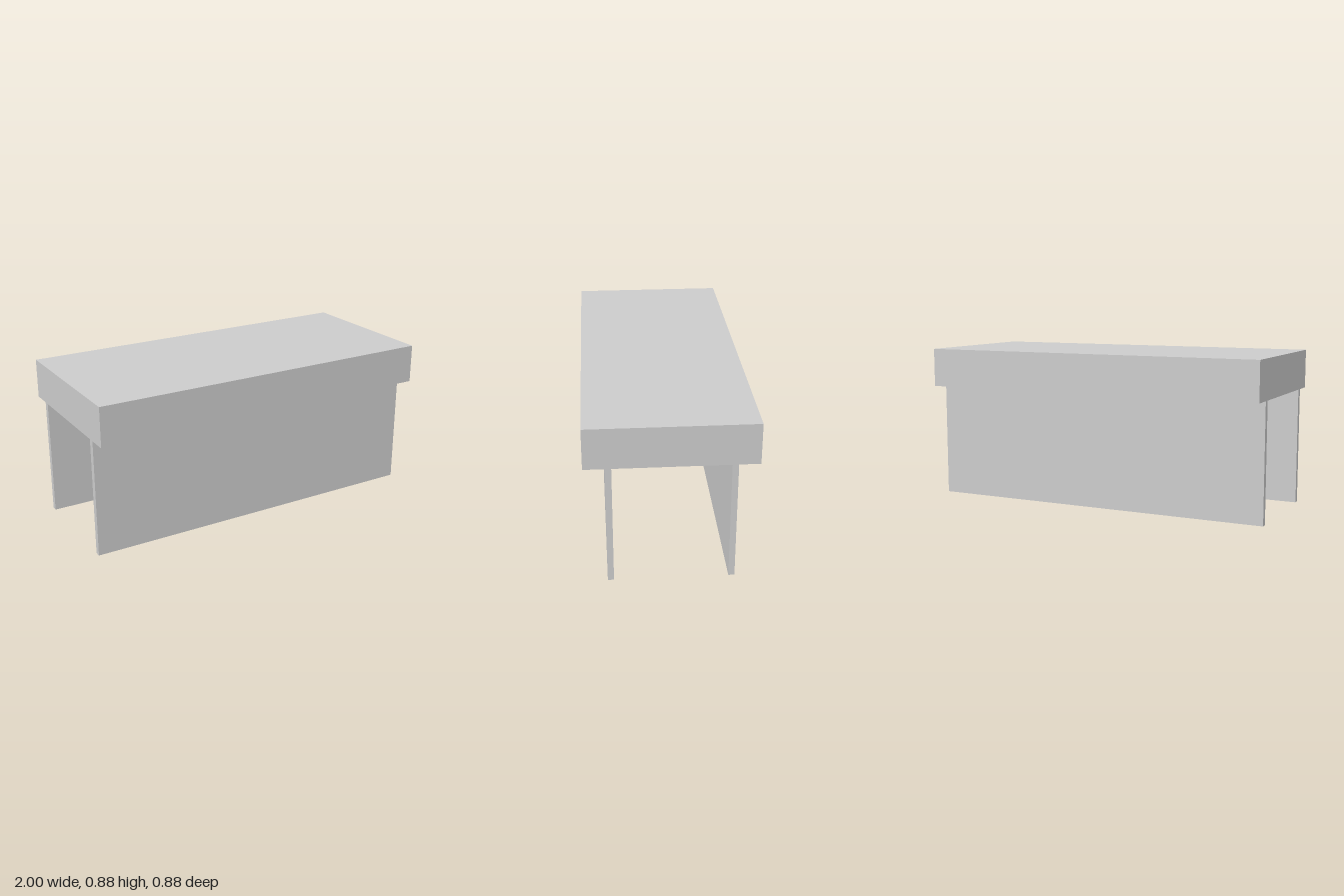
import * as THREE from 'three';
import { mergeGeometries } from 'three/addons/utils/BufferGeometryUtils.js';

const L = 2, TOP = 0.88, SEAT = 0.66, HALF = 0.44, OUT = 0.33, IN = 0.298;

const material = new THREE.MeshStandardMaterial({ color: 0xcccccc, side: THREE.DoubleSide });

// Flat sheets: facing along z, along x, or along y
const sheetZ = (y0, y1, z, dir) => new THREE.PlaneGeometry(L, y1 - y0)
  .rotateY(dir > 0 ? 0 : Math.PI).translate(0, (y0 + y1) / 2, z);
const sheetX = (y0, y1, z0, z1, dir) => new THREE.PlaneGeometry(z1 - z0, y1 - y0)
  .rotateY(dir * Math.PI / 2).translate(dir * L / 2, (y0 + y1) / 2, (z0 + z1) / 2);
const sheetY = (y, z0, z1, dir) => new THREE.PlaneGeometry(L, z1 - z0)
  .rotateX(-dir * Math.PI / 2).translate(0, y, (z0 + z1) / 2);

export function createModel() {
  const group = new THREE.Group();
  const add = (name, sheets) => {
    const mesh = new THREE.Mesh(mergeGeometries(sheets), material);
    mesh.name = name;
    group.add(mesh);
  };

  // Hollow top, closed underneath only along the overhangs
  add('benchTop', [
    sheetY(TOP, -HALF, HALF, 1),
    sheetZ(SEAT, TOP, HALF, 1),
    sheetZ(SEAT, TOP, -HALF, -1),
    sheetX(SEAT, TOP, -HALF, HALF, 1),
    sheetX(SEAT, TOP, -HALF, HALF, -1),
    sheetY(SEAT, OUT, HALF, -1),
    sheetY(SEAT, -HALF, -OUT, -1),
  ]);

  // Long support panels, thin shells open at the bottom
  for (const s of [1, -1]) {
    const z0 = s > 0 ? IN : -OUT, z1 = s > 0 ? OUT : -IN;
    add(s > 0 ? 'frontPanel' : 'backPanel', [
      sheetZ(0, SEAT, s * OUT, s),
      sheetZ(0, SEAT, s * IN, -s),
      sheetX(0, SEAT, z0, z1, 1),
      sheetX(0, SEAT, z0, z1, -1),
    ]);
  }
  return group;
}
